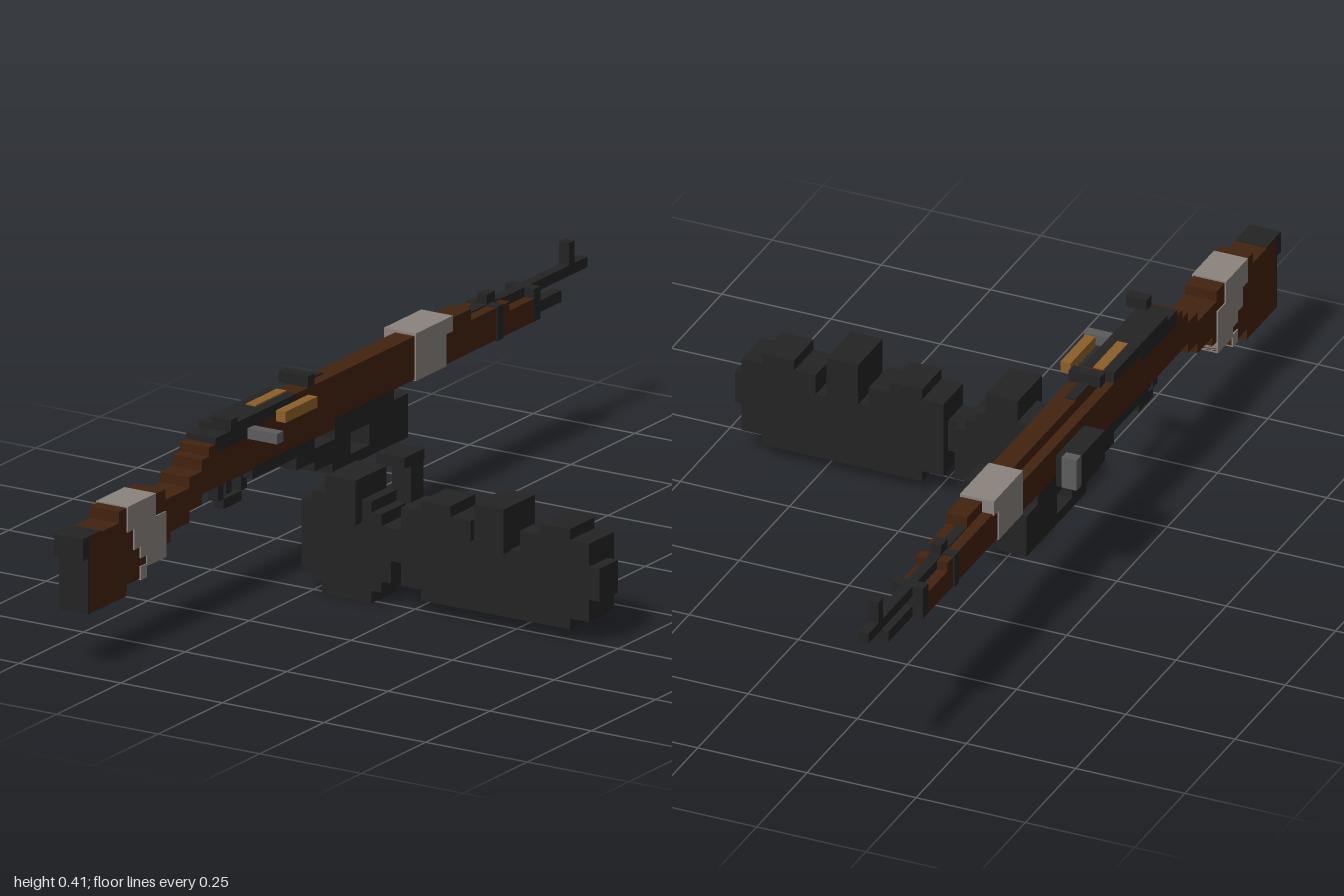
import * as THREE from 'three';

export function createModel() {
  const model = new THREE.Group();
  const mat = (name, color) => {
    const m = new THREE.MeshStandardMaterial({ color });
    m.name = name;
    return m;
  };
  const steel = mat('dark steel', 0x242424);
  const wood = mat('dark wood', 0x42220e);
  const cloth = mat('cloth wrap', 0x8a827d);
  const metal = mat('bolt metal', 0x5c5c5c);
  const brass = mat('brass', 0x8c6029);

  // Rifle body: left and right faces, plus the one-block-wide centre ridge
  const L = -0.415, R = -0.343, CL = -0.391, CR = -0.367;

  const group = (name) => {
    const g = new THREE.Group();
    g.name = name;
    model.add(g);
    return g;
  };
  // Box from its limits along each axis
  const box = (parent, name, m, x0, x1, y0, y1, z0, z1) => {
    const mesh = new THREE.Mesh(new THREE.BoxGeometry(x1 - x0, y1 - y0, z1 - z0), m);
    mesh.position.set((x0 + x1) / 2, (y0 + y1) / 2, (z0 + z1) / 2);
    mesh.name = name;
    parent.add(mesh);
  };

  // Stepped wooden stock: [z0, z1, y0, y1]
  const stock = group('stock');
  [
    [0.86, 0.975, 0.128, 0.295], [0.83, 0.86, 0.128, 0.32], [0.755, 0.83, 0.152, 0.32],
    [0.68, 0.755, 0.176, 0.32], [0.66, 0.68, 0.2, 0.297], [0.585, 0.66, 0.222, 0.297],
    [0.537, 0.585, 0.247, 0.32], [0.51, 0.537, 0.27, 0.345], [0.48, 0.51, 0.27, 0.365],
    [0.3, 0.48, 0.27, 0.345], [0.02, 0.3, 0.272, 0.365],
    [-0.29, 0.02, 0.295, 0.365], [-0.51, -0.29, 0.295, 0.365], [-0.755, -0.51, 0.295, 0.345],
  ].forEach(([z0, z1, y0, y1]) => box(stock, 'stockSection', wood, L, R, y0, y1, z0, z1));
  box(stock, 'foreEndTop', wood, L, R, 0.345, 0.365, -0.66, -0.51);
  box(stock, 'handguard', wood, CL, R, 0.365, 0.39, -0.51, 0.17);
  box(stock, 'buttCap', steel, L, R, 0.25, 0.296, 0.975, 1);
  box(stock, 'buttPlate', steel, L, R, 0.128, 0.25, 0.975, 0.98);
  box(stock, 'buttTop', steel, L, R, 0.295, 0.298, 0.93, 1);

  // Cloth wraps, fitted as slim sleeves
  const wraps = group('wraps');
  const e = 0.003;
  [
    [0.27, 0.32, 0.72, 0.83], [0.225, 0.27, 0.68, 0.805], [0.2, 0.225, 0.68, 0.78],
    [0.176, 0.2, 0.68, 0.755], [0.152, 0.176, 0.755, 0.78],
    [0.295, 0.393, -0.41, -0.29], [0.365, 0.393, -0.435, -0.41],
  ].forEach(([y0, y1, z0, z1]) => box(wraps, 'wrap', cloth, L - e, R + e, y0 - e, y1 + e, z0, z1));

  // Receiver, bolt and small action parts
  const action = group('action');
  box(action, 'receiver', steel, L, R, 0.345, 0.365, 0.3, 0.48);
  box(action, 'receiverTop', steel, L, R, 0.365, 0.39, 0.3, 0.435);
  box(action, 'receiverRear', steel, L, R, 0.365, 0.378, 0.435, 0.485);
  box(action, 'receiverSide', steel, L, R, 0.365, 0.39, 0.17, 0.3);
  box(action, 'chamberedRound', brass, CL, CR, 0.39, 0.393, 0.17, 0.29);
  box(action, 'rearPeep', steel, CR, -0.32, 0.39, 0.415, 0.435, 0.46);
  box(action, 'boltHandle', metal, R, -0.27, 0.343, 0.366, 0.335, 0.36);
  box(action, 'rearSight', steel, L, R, 0.39, 0.415, 0.1, 0.125);
  box(action, 'sightBase', steel, CL, CR, 0.388, 0.394, 0.03, 0.1);

  // Barrel, bands and front sight
  const barrel = group('barrel');
  box(barrel, 'barrelTube', steel, CL, CR, 0.343, 0.366, -1, -0.66);
  box(barrel, 'frontSight', steel, CL, CR, 0.365, 0.415, -0.95, -0.928);
  box(barrel, 'cleaningRod', steel, CL, CR, 0.295, 0.32, -0.9, -0.78);
  box(barrel, 'noseCap', steel, L, R, 0.295, 0.366, -0.78, -0.755);
  box(barrel, 'barrelBand', steel, L - e, R + e, 0.293, 0.368, -0.632, -0.608);
  box(barrel, 'bandSight', steel, CL, CR, 0.365, 0.39, -0.64, -0.608);
  box(barrel, 'barrelStrip', steel, CL, CR, 0.363, 0.368, -0.66, -0.51);

  // Trigger guard
  const guard = group('triggerGuard');
  box(guard, 'guardRear', steel, CL, CR, 0.222, 0.275, 0.415, 0.437);
  box(guard, 'guardBottom', steel, CL, CR, 0.2, 0.222, 0.345, 0.415);
  box(guard, 'guardFront', steel, CL, CR, 0.222, 0.275, 0.325, 0.347);
  box(guard, 'trigger', steel, CL, CR, 0.23, 0.275, 0.385, 0.405);
  box(guard, 'magazineWell', steel, L, R, 0.25, 0.275, 0.15, 0.34);

  // Housing slung under the fore-end, with a side unit
  const housing = group('underHousing');
  box(housing, 'housingFront', steel, L, R, 0.176, 0.272, -0.265, -0.115);
  box(housing, 'housingTop', steel, L, R, 0.247, 0.296, -0.21, 0.02);
  box(housing, 'housingFloor', steel, L, R, 0.176, 0.2, -0.115, 0.03);
  box(housing, 'housingMid', steel, L, R, 0.2, 0.25, -0.04, 0.1);
  box(housing, 'housingRear', steel, L, R, 0.222, 0.275, 0.1, 0.17);
  box(housing, 'sideUnit', steel, -0.463, L, 0.27, 0.342, -0.12, 0.02);
  box(housing, 'sideKnob', metal, -0.464, -0.43, 0.272, 0.344, -0.124, -0.1);

  // Loose grip: plate with a post below
  const grip = group('looseGrip');
  box(grip, 'gripPlate', steel, -0.268, -0.198, 0.198, 0.222, -0.1, 0.028 - 0.05);
  box(grip, 'gripPost', steel, -0.245, -0.198, 0.104, 0.198, -0.095, -0.047);

  // Loose cartridge
  box(model, 'looseCartridge', brass, -0.317, -0.294, 0.367, 0.391, 0.165, 0.29);

  // Round drum and twin drum, stacked in rows: [y0, y1, x0, x1]
  const drums = group('drumMagazines');
  const Z0 = 0.168, Z1 = 0.265;
  [
    [0, 0.027, -0.22, -0.098], [0.027, 0.051, -0.245, -0.074], [0.051, 0.172, -0.27, -0.05],
    [0.172, 0.198, -0.27, -0.074], [0.198, 0.222, -0.245, -0.098],
    [0.027, 0.051, 0.024, 0.39], [0.051, 0.172, -0.025, 0.437],
    [0.172, 0.222, -0.025, 0.146], [0.172, 0.222, 0.268, 0.437],
    [0.222, 0.246, 0.024, 0.097], [0.222, 0.246, 0.317, 0.39],
  ].forEach(([y0, y1, x0, x1]) => box(drums, 'drumRow', steel, x0, x1, y0, y1, Z0, Z1));
  box(drums, 'drumLink', steel, -0.05, -0.025, 0.1, 0.172, 0.192, Z1);
  box(drums, 'drumRim', steel, 0.437, 0.463, 0.1, 0.172, 0.192, Z1);
  box(drums, 'towerBase', steel, 0.146, 0.268, 0.172, 0.176, Z0, Z1);
  // Feed towers
  [-0.195, 0.17].forEach((x) => {
    box(drums, 'feedTower', steel, x, x + 0.073, 0.172, 0.27, Z0, 0.29);
  });

  return model;
}
